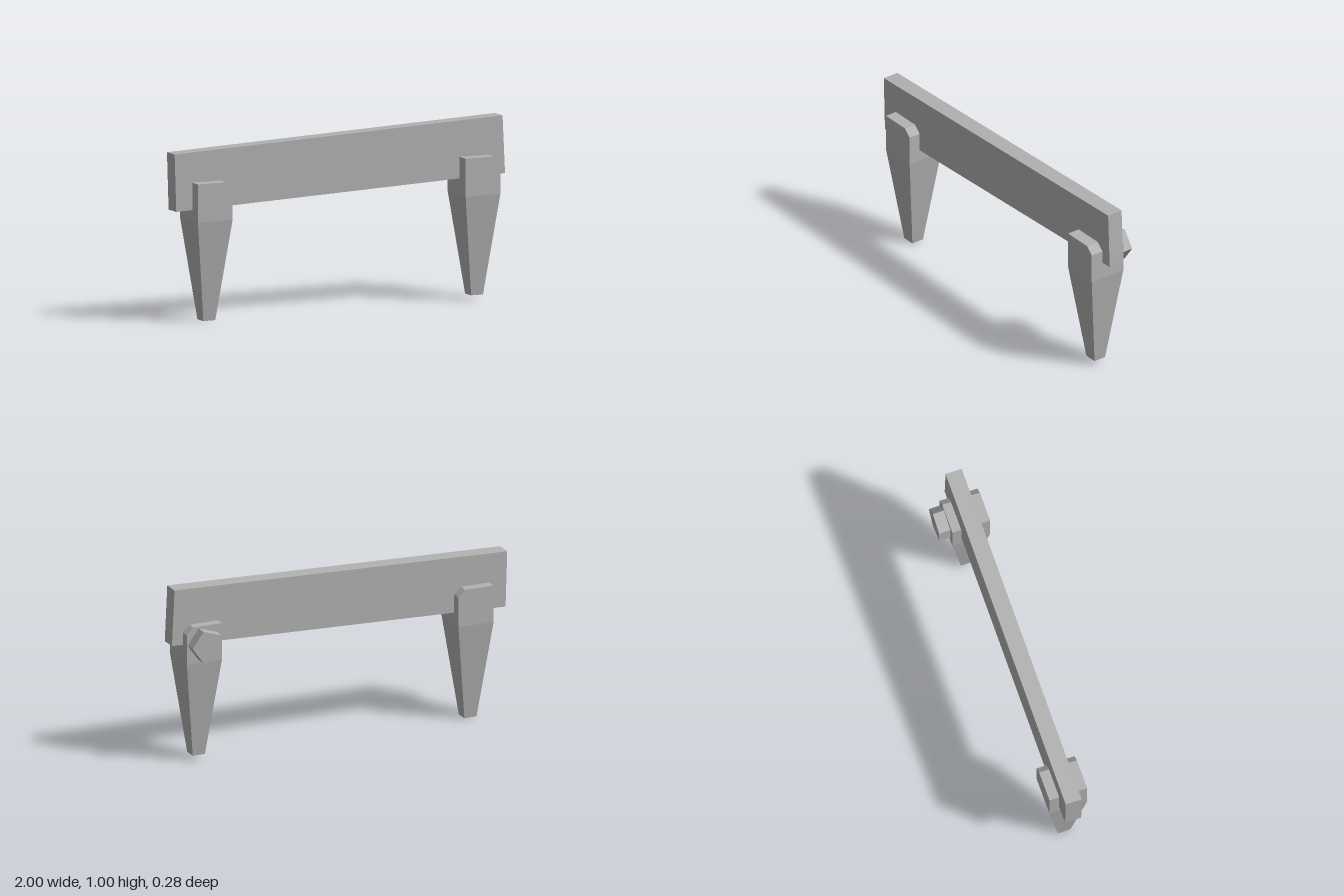
import * as THREE from 'three';

export function createModel() {
  const model = new THREE.Group();
  const grey = new THREE.MeshStandardMaterial({ color: 0xb2b2b2 });
  grey.name = 'plain grey';

  const add = (parent, name, geometry) => {
    const mesh = new THREE.Mesh(geometry, grey);
    mesh.name = name;
    parent.add(mesh);
    return mesh;
  };

  // Straight extrusion of an x-y outline between two depths
  const slab = (points, z0, z1) => {
    const shape = new THREE.Shape(points.map(([x, y]) => new THREE.Vector2(x, y)));
    return new THREE.ExtrudeGeometry(shape, { depth: z1 - z0, bevelEnabled: false }).translate(0, 0, z0);
  };

  // Slightly crooked crossbar plank
  const barBack = -0.025, barFront = 0.067;
  add(model, 'crossbar', slab([[-0.99, 0.61], [1, 0.68], [0.985, 0.997], [-1, 0.925]], barBack, barFront));

  // Tapered stake with a slotted head that holds the crossbar
  const halfX = 0.105, halfZ = 0.108, foot = 0.036;
  const knee = 0.555, shoulder = 0.724, top = 0.763;
  const addLeg = (name, x, y, z, slotFloor) => {
    const leg = new THREE.Group();
    leg.name = name;
    leg.position.set(x, y, z);
    model.add(leg);

    // Lower stake: a box whose bottom corners are drawn in
    const stake = new THREE.BoxGeometry(2 * halfX, knee, 2 * halfZ).translate(0, knee / 2, 0);
    const p = stake.attributes.position;
    for (let i = 0; i < p.count; i++) {
      if (p.getY(i) < 0.01) p.setXYZ(i, Math.sign(p.getX(i)) * foot, 0, Math.sign(p.getZ(i)) * foot);
    }
    stake.computeVertexNormals();
    add(leg, 'stake', stake);

    // Core under the crossbar
    const back = barBack - z, front = barFront - z, floor = slotFloor - y;
    add(leg, 'slotFloor', slab([[-halfX, knee], [halfX, knee], [halfX, floor], [-halfX, floor]], back, front));

    // Two prongs, clipped on the upper left corner
    const outline = [[-halfX, knee], [halfX, knee], [halfX, shoulder], [halfX - 0.04, top], [-halfX, top]];
    add(leg, 'frontProng', slab(outline, front, halfZ));
    add(leg, 'backProng', slab(outline, -halfZ, back));
  };
  addLeg('rightLeg', -0.788, 0, 0.027, 0.62);
  addLeg('leftLeg', 0.83, 0.025, 0.032, 0.675);

  // Five-sided peg head on the back of the left leg
  const peg = Array.from({ length: 5 }, (_, i) => {
    const a = (i * Math.PI * 2) / 5;
    return [0.835 + 0.095 * Math.cos(a), 0.688 + 0.095 * Math.sin(a)];
  });
  add(model, 'peg', slab(peg, -0.14, -0.076));

  return model;
}
